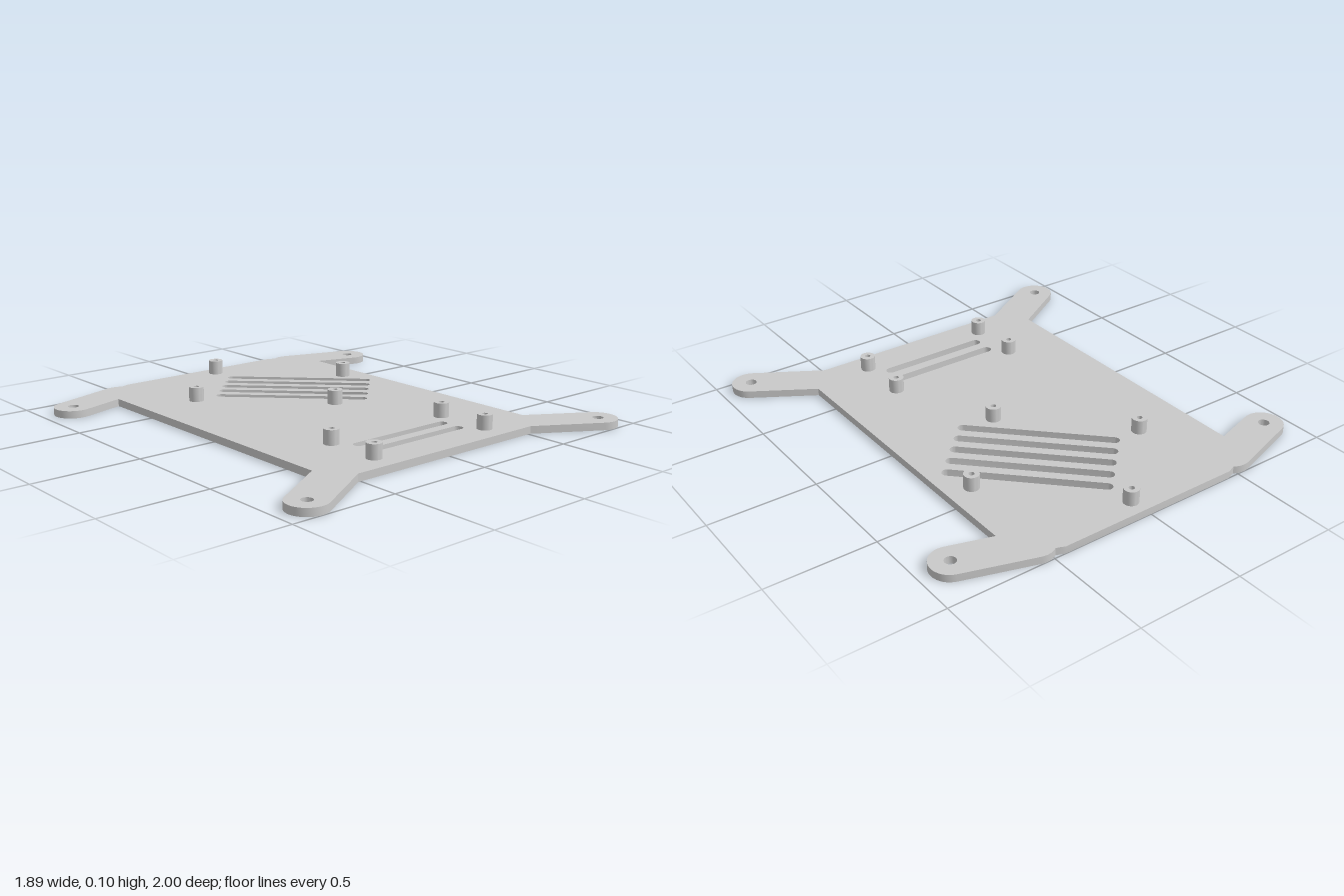
import * as THREE from 'three';
import { toCreasedNormals } from 'three/addons/utils/BufferGeometryUtils.js';

const PLATE = 0.035, TOP = 0.103, ARM_R = 0.09;

// Points on an arc in plan (x, z), angles in degrees
function arc(x, z, r, from, to, steps = 20) {
  return Array.from({ length: steps + 1 }, (_, i) => {
    const a = THREE.MathUtils.degToRad(from + (to - from) * i / steps);
    return [x + r * Math.cos(a), z + r * Math.sin(a)];
  });
}

// Plan coordinates become counter-clockwise shape coordinates with y = -z
const toPoints = (plan) => plan.map(([x, z]) => new THREE.Vector2(x, -z)).reverse();
const hole = (x, z, r) => new THREE.Path(toPoints(arc(x, z, r, 0, 345, 23)));

// Round-ended slot between two plan points
function slot(x1, z1, x2, z2, r) {
  const a = THREE.MathUtils.radToDeg(Math.atan2(z2 - z1, x2 - x1));
  return new THREE.Path(toPoints([
    ...arc(x1, z1, r, a + 90, a + 270, 10),
    ...arc(x2, z2, r, a - 90, a + 90, 10),
  ]));
}

// Extrude a plan shape upwards from y = 0
function extrudeUp(shape, depth) {
  const geometry = new THREE.ExtrudeGeometry(shape, { depth, bevelEnabled: false });
  geometry.rotateX(-Math.PI / 2);
  return toCreasedNormals(geometry, 0.5);
}

export function createModel() {
  const group = new THREE.Group();
  const grey = new THREE.MeshStandardMaterial({ name: 'grey', color: 0xc9c9c9 });

  const standoffs = [
    [0.042, -0.92], [-0.354, -0.523], [0.51, -0.45], [0.114, -0.054],
    [-0.33, 0.434], [0.33, 0.434], [-0.33, 0.698], [0.33, 0.698],
  ];

  // Half of the outline: front arm, side, back arm; then mirrored
  const half = [
    [-0.513, 0.806],
    ...arc(-0.857, 0.909, ARM_R, 59, 239),
    [-0.627, 0.662],
    [-0.627, -0.784],
    ...arc(-0.857, -0.807, ARM_R, 72.7, 252.7),
    ...arc(-0.535, -0.91, ARM_R, 252.7, 304, 8),
    [-0.47, -0.99],
    [-0.445, -1],
  ];
  const mirrored = half.map(([x, z]) => [-x, z]).reverse();
  const outline = new THREE.Shape(toPoints([...half, ...mirrored]));

  // Mounting holes in the arms and below the standoffs
  for (const s of [-1, 1]) {
    outline.holes.push(hole(s * 0.857, 0.909, 0.026), hole(s * 0.857, -0.807, 0.026));
  }
  for (const [x, z] of standoffs) outline.holes.push(hole(x, z, 0.013));

  // Straight front slots and diagonal vent slots
  for (const z of [0.517, 0.613]) outline.holes.push(slot(-0.251, z, 0.251, z, 0.024));
  for (let i = 0; i < 5; i++) {
    const x = -0.212 + 0.065 * i, z = -0.521 - 0.065 * i;
    outline.holes.push(slot(x, z, x + 0.484, z + 0.484, 0.024));
  }

  const plate = new THREE.Mesh(extrudeUp(outline, PLATE), grey);
  plate.name = 'basePlate';
  group.add(plate);

  // Hollow standoffs on top of the plate
  const ring = new THREE.Shape(toPoints(arc(0, 0, 0.035, 0, 348.75, 31)));
  ring.holes.push(hole(0, 0, 0.013));
  const ringGeometry = extrudeUp(ring, TOP - PLATE);
  standoffs.forEach(([x, z], i) => {
    const standoff = new THREE.Mesh(ringGeometry, grey);
    standoff.name = `standoff${i + 1}`;
    standoff.position.set(x, PLATE, z);
    group.add(standoff);
  });

  return group;
}
